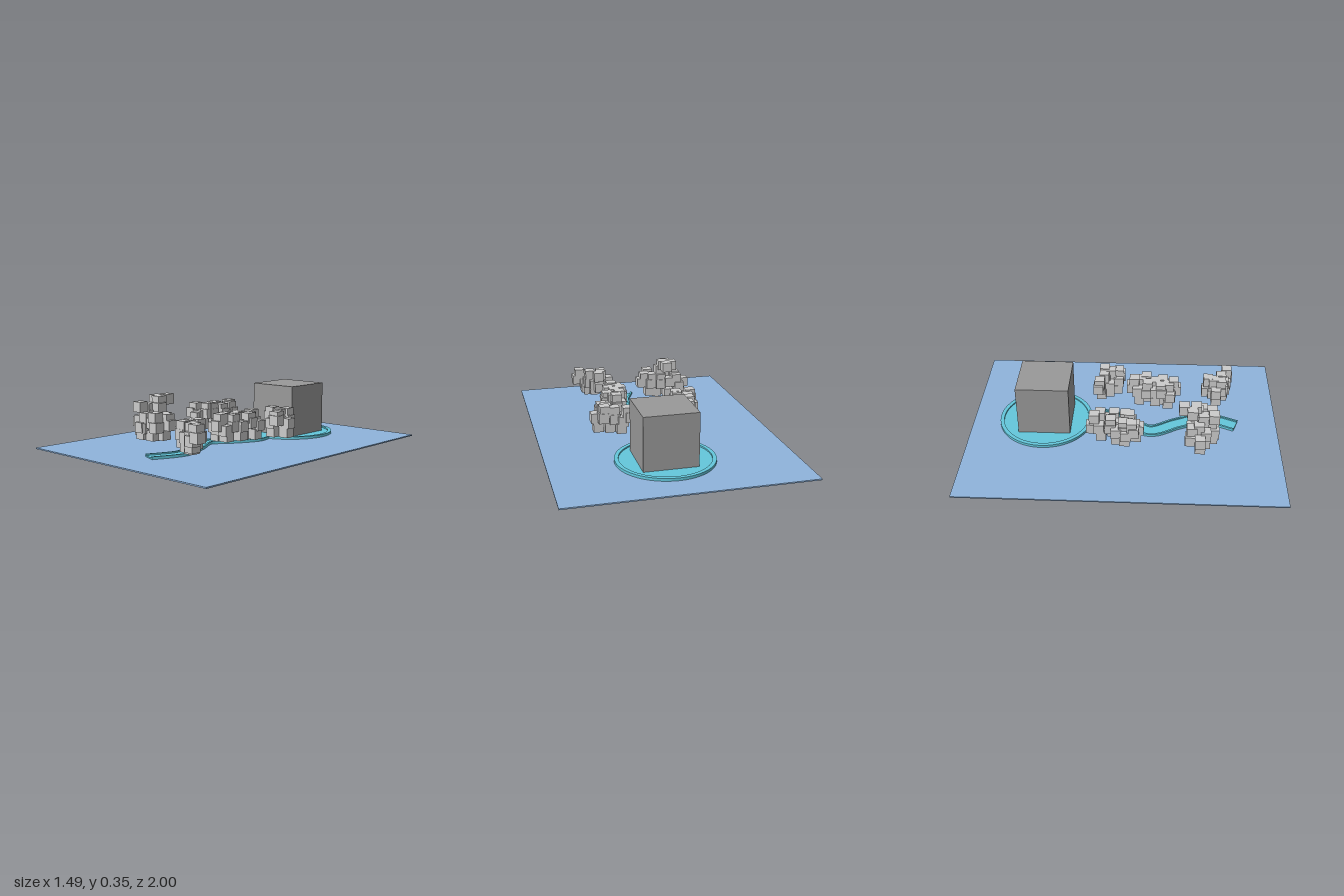
import * as THREE from 'three';
import { mergeGeometries } from 'three/addons/utils/BufferGeometryUtils.js';

const grey = new THREE.MeshStandardMaterial({ color: 0xcccccc });
const stone = new THREE.MeshStandardMaterial({ color: 0x999999 });
const lawn = new THREE.MeshStandardMaterial({ color: 0x8fb4dc });
const water = new THREE.MeshStandardMaterial({ color: 0x64c8dc });

const BASE = 0.008, FLOOR = 0.016, RIM = 0.025;
const CUBE = 0.064;

function add(group, name, geometry, material) {
  const mesh = new THREE.Mesh(geometry, material);
  mesh.name = name;
  group.add(mesh);
  return mesh;
}

// Flat plan outline (x, -z) raised from the ground to a given height
function slab(shape, top) {
  const g = new THREE.ExtrudeGeometry(shape, { depth: top - BASE, bevelEnabled: false, curveSegments: 48 });
  return g.rotateX(-Math.PI / 2).translate(0, BASE, 0);
}

// Strip following the stream between two sideways offsets
function strip(curve, a, b, top) {
  const left = [], right = [], n = 48;
  for (let i = 0; i <= n; i++) {
    const p = curve.getPoint(i / n), t = curve.getTangent(i / n);
    const normal = new THREE.Vector2(-t.y, t.x);
    left.push(p.clone().addScaledVector(normal, a));
    right.push(p.clone().addScaledVector(normal, b));
  }
  return slab(new THREE.Shape([...left, ...right.reverse()]), top);
}

// Plan positions [x, z] of the cubes in each bush
const bushes = {
  bushBackLeft: [[-.2, -.2], [-.22, -.15], [-.155, -.16], [-.14, -.11], [-.24, -.08], [-.18, -.07], [-.145, -.06],
    [-.27, -.04], [-.26, .01], [-.2, -.01], [-.17, .02], [-.285, .02], [-.29, .07], [-.22, .075], [-.18, .05], [-.225, .1]],
  bushBackRight: [[.175, -.18], [.22, -.17], [.27, -.15], [.3, -.14], [.34, -.15], [.26, -.11], [.32, -.1],
    [.38, -.1], [.34, -.04], [.3, -.05]],
  bushMiddleRight: [[.215, .04], [.18, .08], [.235, .09], [.28, .075], [.17, .14], [.22, .15], [.27, .13], [.15, .2],
    [.2, .2], [.255, .2], [.14, .24], [.18, .26], [.235, .255], [.13, .295], [.195, .335], [.23, .31], [.16, .3]],
  bushFrontLeft: [[-.31, .42], [-.245, .43], [-.185, .45], [-.355, .48], [-.3, .47], [-.3, .515], [-.24, .5],
    [-.18, .52], [-.21, .56], [-.16, .5], [-.12, .47], [-.1, .5], [-.06, .5], [-.15, .55], [-.1, .57], [-.23, .57]],
  bushFrontRight: [[.235, .54], [.165, .6], [.21, .58], [.26, .595], [.2, .635], [.25, .65], [.29, .64],
    [.32, .675], [.37, .685], [.3, .66]],
};
// Extra cubes [x, y, z] stacked on the front left bush
const crown = [[-.21, .305, .38], [-.255, .3, .43], [-.2, .3, .455], [-.185, .26, .47], [-.24, .255, .5], [-.25, .27, .565]];

function cubeAt(x, y, z) {
  return new THREE.BoxGeometry(CUBE, CUBE, CUBE).translate(x, y, z);
}

export function createModel() {
  const model = new THREE.Group();
  model.name = 'cubeGarden';
  let seed = 7;
  const random = () => (seed = (seed * 16807) % 2147483647) / 2147483647;

  // Ground sheet
  add(model, 'ground', new THREE.BoxGeometry(1.49, BASE, 2), lawn).position.y = BASE / 2;

  // Round pool with a raised rim, open where the stream leaves
  const cx = 0.04, cy = 0.52, r = 0.305, inner = 0.28;
  const pool = new THREE.Shape();
  pool.absarc(cx, cy, inner + 0.005, 0, Math.PI * 2);
  add(model, 'poolFloor', slab(pool, FLOOR), water);
  const start = -Math.PI / 2 + 0.21, end = Math.PI * 1.5 - 0.09;
  const rim = new THREE.Shape();
  rim.absarc(cx, cy, r, start, end, false);
  rim.absarc(cx, cy, inner, end, start, true);
  rim.closePath();
  add(model, 'poolRim', slab(rim, RIM), water);

  // Winding stream with raised banks
  const course = [[.06, -.235], [.09, -.13], [.03, .01], [-.07, .17], [.015, .35], [.078, .53], [.008, .73]];
  const curve = new THREE.SplineCurve(course.map(([x, z]) => new THREE.Vector2(x, -z)));
  add(model, 'streamFloor', strip(curve, 0.042, -0.042, FLOOR), water);
  add(model, 'streamBankLeft', strip(curve, 0.052, 0.04, RIM), water);
  add(model, 'streamBankRight', strip(curve, -0.04, -0.052, RIM), water);

  // Large cube standing in the pool
  add(model, 'largeCube', new THREE.BoxGeometry(0.336, 0.334, 0.336), stone).position.set(0.048, 0.183, -0.516);

  // Bushes of small overlapping cubes: a middle layer, with narrower layers above and below
  for (const [name, plan] of Object.entries(bushes)) {
    const mx = plan.reduce((s, p) => s + p[0], 0) / plan.length;
    const mz = plan.reduce((s, p) => s + p[1], 0) / plan.length;
    const parts = [];
    plan.forEach(([x, z], i) => {
      parts.push(cubeAt(x, 0.14 + random() * 0.04, z));
      const y = i % 2 ? 0.095 + random() * 0.015 : 0.2 + random() * 0.016;
      parts.push(cubeAt(mx + (x - mx) * 0.85, y, mz + (z - mz) * 0.88));
    });
    if (name === 'bushFrontLeft') crown.forEach(c => parts.push(cubeAt(...c)));
    add(model, name, mergeGeometries(parts), grey);
  }
  return model;
}
